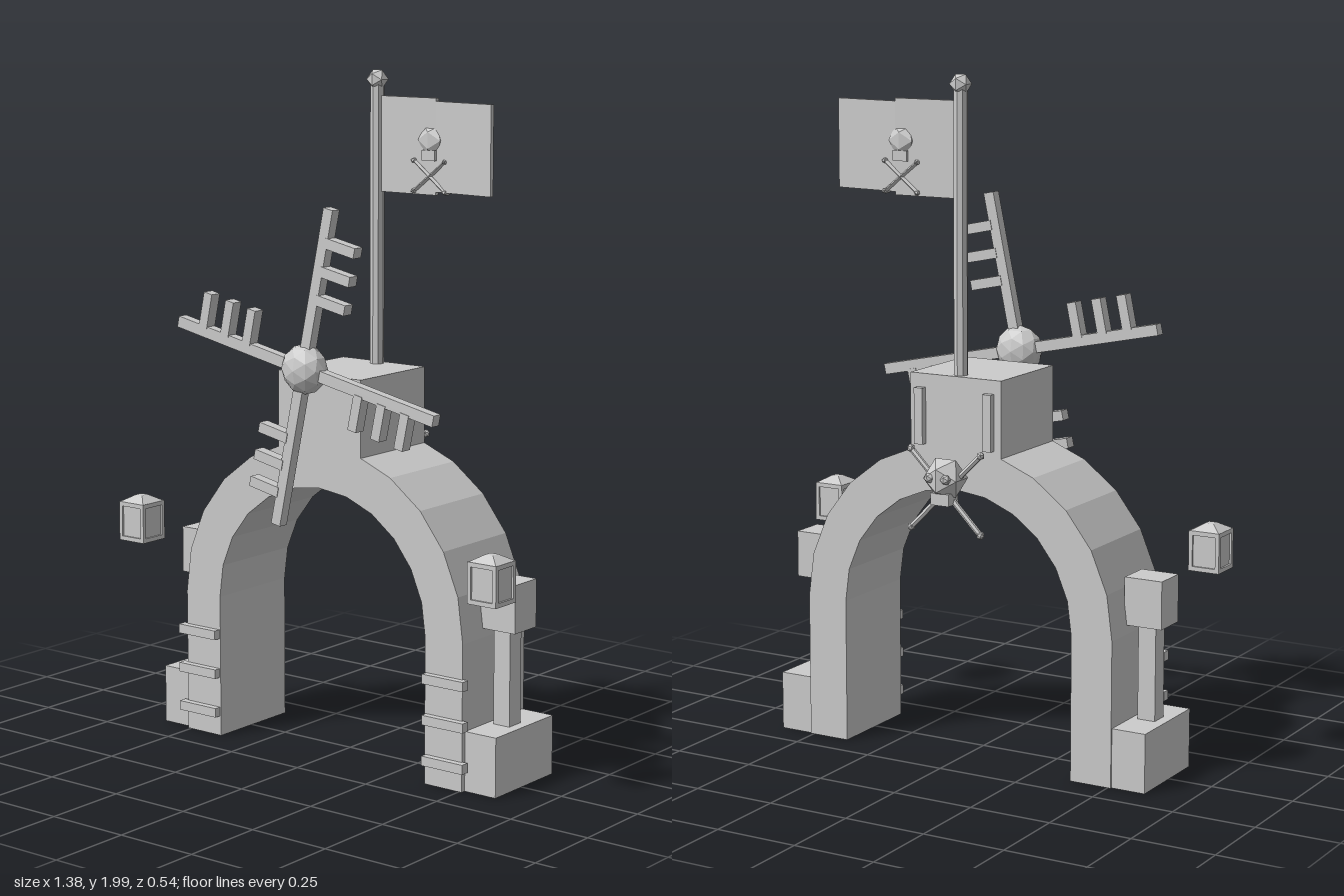
import * as THREE from 'three';

const stone = new THREE.MeshStandardMaterial({ color: 0xcccccc, flatShading: true });
stone.name = 'pale grey';

function add(parent, name, geometry, x = 0, y = 0, z = 0) {
  const m = new THREE.Mesh(geometry, stone);
  m.name = name;
  m.position.set(x, y, z);
  parent.add(m);
  return m;
}

// Box given by its extents on each axis
function block(parent, name, x0, x1, y0, y1, z0, z1) {
  return add(parent, name, new THREE.BoxGeometry(x1 - x0, y1 - y0, z1 - z0),
    (x0 + x1) / 2, (y0 + y1) / 2, (z0 + z1) / 2);
}

function group(parent, name, x = 0, y = 0, z = 0) {
  const g = new THREE.Group();
  g.name = name;
  g.position.set(x, y, z);
  parent.add(g);
  return g;
}

// Round arch on straight legs, with twelve facets
function archGeometry() {
  const shape = new THREE.Shape();
  const outer = 0.51, inner = 0.38, spring = 0.43, n = 12;
  shape.moveTo(outer, 0);
  for (let i = 0; i <= n; i++) {
    const a = Math.PI * i / n;
    shape.lineTo(outer * Math.cos(a), spring + outer * Math.sin(a));
  }
  shape.lineTo(-outer, 0);
  shape.lineTo(-inner, 0);
  for (let i = n; i >= 0; i--) {
    const a = Math.PI * i / n;
    shape.lineTo(inner * Math.cos(a), spring + inner * Math.sin(a));
  }
  shape.lineTo(inner, 0);
  const g = new THREE.ExtrudeGeometry(shape, { depth: 0.305, bevelEnabled: false });
  return g.translate(0, 0, -0.16);
}

function lantern(parent, x) {
  const g = group(parent, 'lantern', x, 0.58, 0.197);
  block(g, 'lanternGlass', -0.042, 0.042, 0.01, 0.108, -0.042, 0.042);
  block(g, 'lanternFloor', -0.048, 0.048, 0, 0.013, -0.048, 0.048);
  block(g, 'lanternRim', -0.048, 0.048, 0.105, 0.118, -0.048, 0.048);
  for (const sx of [-1, 1]) for (const sz of [-1, 1]) {
    add(g, 'lanternPost', new THREE.BoxGeometry(0.012, 0.1, 0.012), sx * 0.042, 0.06, sz * 0.042);
  }
  const roof = new THREE.CylinderGeometry(0.018, 0.066, 0.02, 4).rotateY(Math.PI / 4);
  add(g, 'lanternRoof', roof, 0, 0.127, 0);
}

// Crossed bones with knobs at the ends
function bones(parent, y, halfLength, radius, angle) {
  for (const s of [-1, 1]) {
    const b = group(parent, 'bone', 0, y, 0);
    b.rotation.z = s * angle;
    add(b, 'boneShaft', new THREE.CylinderGeometry(radius, radius, halfLength * 2, 6));
    for (const e of [-1, 1]) {
      add(b, 'boneKnob', new THREE.IcosahedronGeometry(radius * 1.5, 0), 0, e * halfLength, 0);
    }
  }
}

export function createModel() {
  const model = new THREE.Group();
  model.name = 'windmillArch';

  add(model, 'arch', archGeometry());
  block(model, 'towerBlock', -0.15, 0.15, 0.9, 1.14, -0.16, 0.145);

  // Side pillars, ladder rungs, lanterns and back battens
  for (const s of [-1, 1]) {
    const pair = (name, cx, w, y0, y1, z0, z1) =>
      block(model, name, s * cx - w / 2, s * cx + w / 2, y0, y1, z0, z1);
    pair('pillarBase', 0.56, 0.11, 0, 0.175, -0.155, 0.13);
    pair('pillarShaft', 0.557, 0.055, 0.17, 0.46, -0.035, 0.02);
    pair('pillarCapital', 0.557, 0.117, 0.455, 0.595, -0.063, 0.043);
    for (const y of [0.06, 0.18, 0.3]) pair('rung', 0.455, 0.142, y, y + 0.028, 0.14, 0.166);
    lantern(model, s * 0.642);
    pair('backBatten', 0.113, 0.028, 0.935, 1.1, -0.18, -0.155);
  }

  // Windmill: four arms, each with three slats on its clockwise side
  const mill = group(model, 'windmill', 0, 1.165, 0.21);
  const hub = add(mill, 'hub', new THREE.IcosahedronGeometry(0.073, 1));
  hub.scale.z = 0.75;
  for (let i = 0; i < 4; i++) {
    const arm = group(mill, 'sailArm');
    arm.rotation.z = -0.208 - i * Math.PI / 2;
    block(arm, 'spar', -0.0165, 0.0165, 0, 0.472, -0.016, 0.016);
    for (const r of [0.21, 0.293, 0.376]) {
      block(arm, 'slat', 0.01, 0.115, r - 0.015, r + 0.015, -0.018, 0.018);
    }
  }

  // Flagpole and bent two-panel flag
  add(model, 'flagpole', new THREE.CylinderGeometry(0.021, 0.021, 0.84, 8), 0, 1.54, -0.128);
  add(model, 'poleKnob', new THREE.IcosahedronGeometry(0.032, 0), 0, 1.967, -0.128);
  const flag = group(model, 'flag', 0, 1.783, -0.13);
  block(flag, 'innerPanel', 0.01, 0.212, -0.138, 0.138, -0.007, 0.007);
  const outerPanel = group(flag, 'outerPanel', 0.208, 0, 0);
  outerPanel.rotation.y = -0.11;
  block(outerPanel, 'outerCloth', 0, 0.212, -0.129, 0.129, -0.006, 0.006);

  // Skull and bones standing out on both faces of the flag
  const emblem = group(flag, 'flagEmblem', 0.192, 0, 0);
  const face = add(emblem, 'flagSkull', new THREE.IcosahedronGeometry(0.046, 0), 0, 0.018, 0);
  face.scale.z = 0.5;
  block(emblem, 'flagJaw', -0.023, 0.023, -0.04, -0.01, -0.016, 0.016);
  const flagBones = group(emblem, 'flagBones');
  flagBones.scale.z = 2.6;
  bones(flagBones, -0.085, 0.07, 0.006, 0.9);

  // Skull and crossed bones hung on the back of the arch
  const trophy = group(model, 'backSkull', 0, 0.815, -0.215);
  add(trophy, 'skull', new THREE.IcosahedronGeometry(0.064, 0), 0, 0.04, 0);
  block(trophy, 'jaw', -0.03, 0.03, -0.035, 0.0, -0.035, 0.02);
  for (const s of [-1, 1]) {
    add(trophy, 'eye', new THREE.IcosahedronGeometry(0.016, 0), s * 0.027, 0.045, -0.045);
  }
  bones(trophy, 0, 0.163, 0.0085, Math.PI / 4);

  return model;
}
